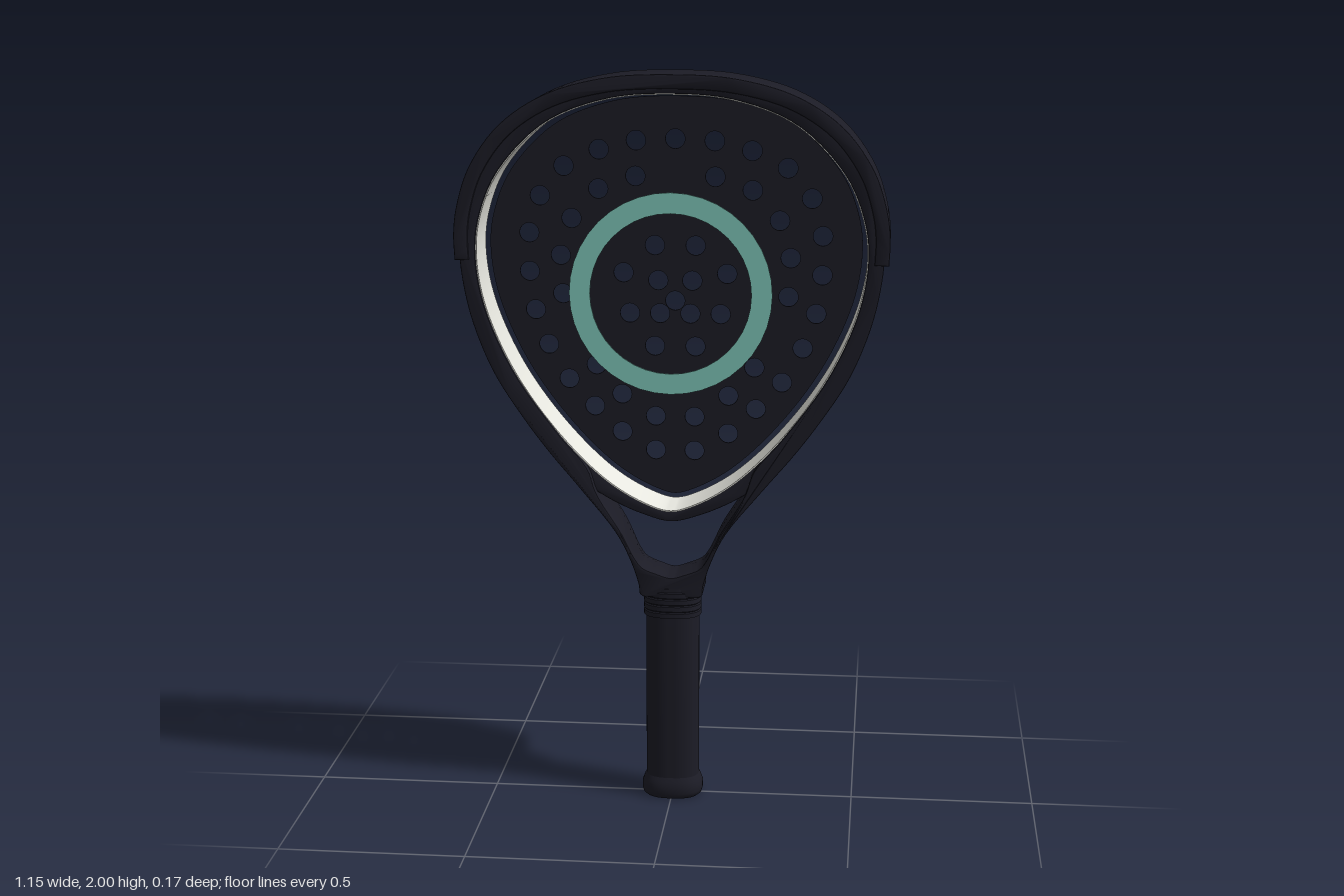
import * as THREE from 'three';
import { toCreasedNormals } from 'three/addons/utils/BufferGeometryUtils.js';

const dark = new THREE.MeshStandardMaterial({ color: 0x1c1c26 });
dark.name = 'charcoal';
const teal = new THREE.MeshStandardMaterial({ color: 0x80cabb });
teal.name = 'teal';
const white = new THREE.MeshStandardMaterial({ color: 0xf2f2ea, side: THREE.DoubleSide });
white.name = 'offWhite';

const V = (x, y) => new THREE.Vector2(x, y);

// Smooth clockwise loop from right-hand points listed top to bottom; first and last lie on x = 0.
function loop(half, n = 160) {
  const left = half.slice(1, -1).reverse().map(([x, y]) => [-x, y]);
  const pts = [...half, ...left].map(([x, y]) => new THREE.Vector3(x, y, 0));
  return new THREE.CatmullRomCurve3(pts, true).getPoints(n).slice(0, -1).map(p => V(p.x, p.y));
}

// Smooth open line from right-hand points listed centre to end, mirrored.
function arch(half, n = 60) {
  const left = half.slice(1).reverse().map(([x, y]) => [-x, y]);
  const pts = [...left, ...half].map(([x, y]) => new THREE.Vector3(x, y, 0));
  return new THREE.CatmullRomCurve3(pts).getPoints(n).map(p => V(p.x, p.y));
}

// Shifts a clockwise line inward by d.
function inset(pts, d, closed = true) {
  const n = pts.length;
  return pts.map((p, i) => {
    const a = closed ? pts[(i + n - 1) % n] : pts[Math.max(i - 1, 0)];
    const b = closed ? pts[(i + 1) % n] : pts[Math.min(i + 1, n - 1)];
    const t = b.clone().sub(a).normalize();
    return V(p.x + t.y * d, p.y - t.x * d);
  });
}

// Shape with a counter-clockwise outline, so that clockwise holes face inward.
const outline = (clockwise) => new THREE.Shape([...clockwise].reverse());

function slab(name, material, shape, z0, z1, bevel = 0) {
  const geo = new THREE.ExtrudeGeometry(shape, {
    depth: z1 - z0 - 2 * bevel, curveSegments: 20, bevelEnabled: bevel > 0,
    bevelThickness: bevel, bevelSize: bevel, bevelOffset: -bevel, bevelSegments: 2,
  });
  geo.translate(0, 0, z0 + bevel);
  const mesh = new THREE.Mesh(geo, material);
  mesh.name = name;
  return mesh;
}

const smooth = (mesh) => {
  mesh.geometry = toCreasedNormals(mesh.geometry, 0.6);
  return mesh;
};

export function createModel() {
  const model = new THREE.Group();
  model.name = 'padelRacket';

  const outer = loop([[0, 1.985], [0.17, 1.975], [0.32, 1.93], [0.435, 1.853], [0.515, 1.745], [0.55, 1.645],
    [0.56, 1.55], [0.555, 1.47], [0.53, 1.35], [0.475, 1.21], [0.4, 1.09], [0.33, 0.995], [0.245, 0.893],
    [0.148, 0.77], [0.108, 0.685], [0.088, 0.62], [0.082, 0.59], [0, 0.59]]);
  const upperInner = [[0, 1.95], [0.17, 1.935], [0.33, 1.872], [0.455, 1.745], [0.505, 1.63], [0.518, 1.53],
    [0.497, 1.39], [0.42, 1.21], [0.3, 1.04]];
  const opening = loop([...upperInner, [0.225, 0.95], [0.2, 0.88], [0.133, 0.77], [0.097, 0.695], [0.078, 0.67],
    [0.04, 0.653], [0, 0.642]]);
  const rim = loop([...upperInner, [0.17, 0.912], [0.065, 0.85], [0, 0.832]]);

  // Frame with throat arms, thinning towards the handle
  const frameShape = outline(outer);
  frameShape.holes.push(new THREE.Path(opening));
  const frame = slab('frame', dark, frameShape, -0.08, 0.08, 0.004);
  const pos = frame.geometry.attributes.position;
  for (let i = 0; i < pos.count; i++) {
    const k = 1 - 0.25 * (1 - THREE.MathUtils.smoothstep(pos.getY(i), 0.6, 0.82));
    pos.setZ(i, pos.getZ(i) * k);
  }
  model.add(smooth(frame));

  // Bridge between the face and the throat opening
  const top = arch([[0, 0.832], [0.065, 0.848], [0.17, 0.91], [0.25, 0.985]]);
  const under = arch([[0, 0.8], [0.08, 0.82], [0.15, 0.85], [0.22, 0.89]]).reverse();
  model.add(smooth(slab('bridge', dark, new THREE.Shape([...top, ...under]), -0.055, 0.055, 0.004)));

  // Pale lining of the frame
  const lining = outline(inset(rim, -0.001));
  lining.holes.push(new THREE.Path(inset(rim, 0.003)));
  model.add(smooth(slab('innerLining', white, lining, -0.072, 0.072)));

  // Bumper over the head
  const bumperLine = arch([[0, 2], [0.17, 1.99], [0.33, 1.945], [0.45, 1.865], [0.53, 1.755], [0.565, 1.65],
    [0.574, 1.58], [0.572, 1.51]], 80);
  const bumper = new THREE.Shape([...bumperLine, ...inset(bumperLine, 0.038, false).reverse()]);
  model.add(smooth(slab('headBumper', dark, bumper, -0.086, 0.086, 0.004)));

  // Perforated face
  const face = outline(inset(rim, 0.017));
  const drill = (x, y) => face.holes.push(new THREE.Path().absarc(x, y, 0.026, 0, Math.PI * 2, true));
  drill(0, 1.82);
  drill(0, 1.385);
  const holes = [
    [0.105, 1.815], [0.205, 1.79], [0.3, 1.745], [0.365, 1.665], [0.395, 1.565], [0.395, 1.46], [0.38, 1.355],
    [0.345, 1.26], [0.29, 1.165], [0.22, 1.09], [0.145, 1.02], [0.053, 0.97],
    [0.107, 1.72], [0.207, 1.685], [0.28, 1.605], [0.31, 1.505], [0.305, 1.4], [0.215, 1.205], [0.145, 1.125],
    [0.053, 1.065],
    [0.055, 1.535], [0.14, 1.46], [0.046, 1.44], [0.041, 1.35], [0.123, 1.35], [0.055, 1.26],
  ];
  for (const [x, y] of holes) for (const s of [-1, 1]) drill(s * x, y);
  model.add(slab('face', dark, face, -0.07, -0.064));

  // Teal ring level with the front of the frame
  const ring = new THREE.Shape().absarc(0, 1.425, 0.269, 0, Math.PI * 2);
  ring.holes.push(new THREE.Path().absarc(0, 1.425, 0.214, 0, Math.PI * 2, true));
  model.add(slab('frontRing', teal, ring, 0.068, 0.072));

  // Grip parts: turned profiles squared off into a rounded section
  function grip(name, profile) {
    const geo = new THREE.LatheGeometry(profile.map(([r, y]) => V(r, y)), 48);
    const p = geo.attributes.position;
    for (let i = 0; i < p.count; i++) {
      const x = p.getX(i), z = p.getZ(i), r = Math.hypot(x, z);
      if (r < 1e-6) continue;
      const k = Math.pow(Math.abs(x / r) ** 2.5 + Math.abs(z / r) ** 2.5, -1 / 2.5);
      p.setX(i, x * k);
      p.setZ(i, z * k * 0.82);
    }
    const mesh = new THREE.Mesh(geo, dark);
    mesh.name = name;
    model.add(smooth(mesh));
  }
  grip('handle', [[0.073, 0.04], [0.073, 0.56]]);
  grip('buttCap', [[0, 0], [0.074, 0], [0.081, 0.006], [0.084, 0.016], [0.084, 0.034], [0.079, 0.048],
    [0.073, 0.06]]);
  const collar = [[0.07, 0.525]];
  for (let i = 0; i < 4; i++) {
    const y = 0.525 + i * 0.019;
    collar.push([0.079, y + 0.002], [0.079, y + 0.015], [0.076, y + 0.018]);
  }
  collar.push([0.076, 0.61], [0, 0.612]);
  grip('collar', collar);

  return model;
}
